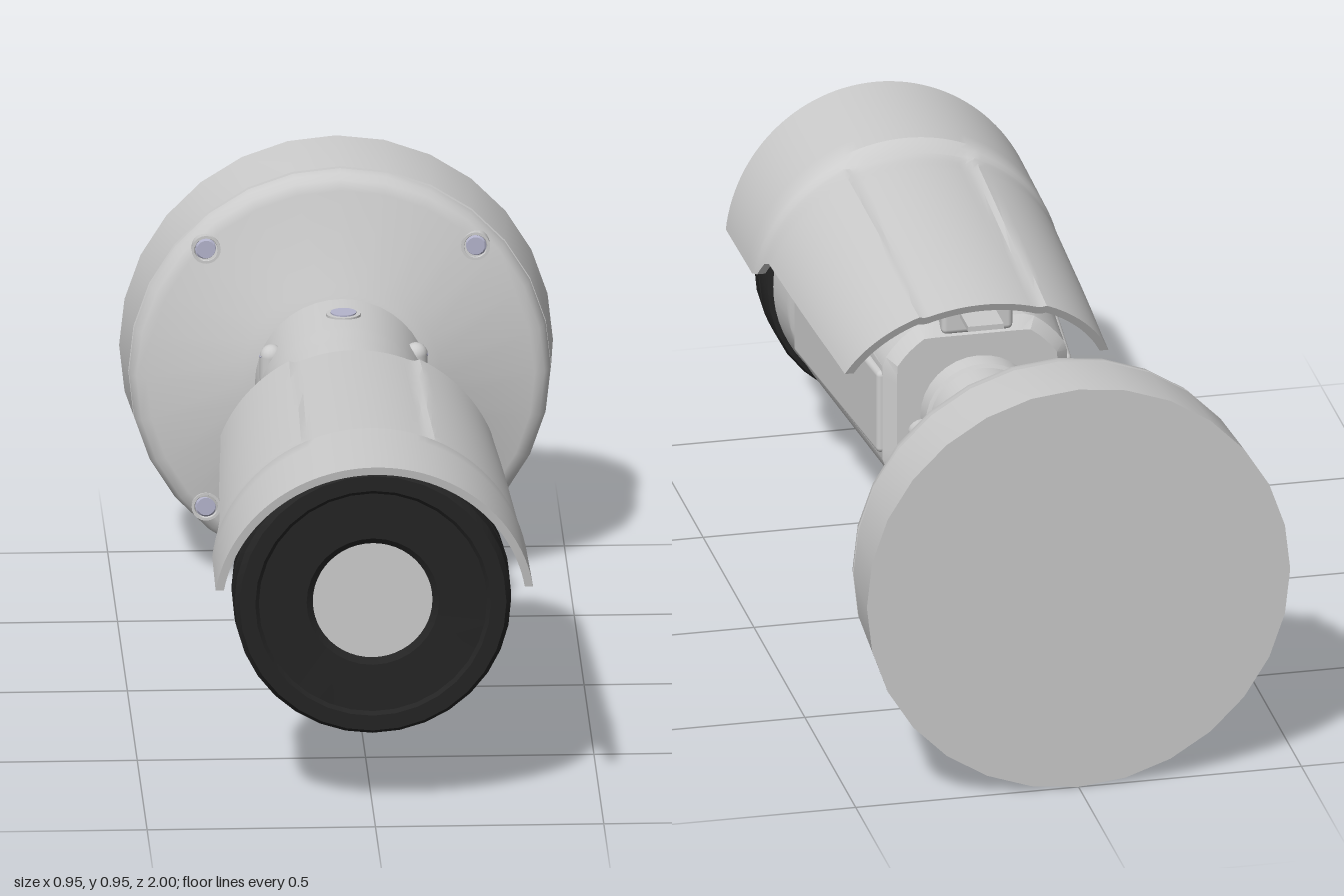
import * as THREE from 'three';
import { toCreasedNormals } from 'three/addons/utils/BufferGeometryUtils.js';
import { RoundedBoxGeometry } from 'three/addons/geometries/RoundedBoxGeometry.js';

const CY = 0.48; // height of the main axis
const grey = new THREE.MeshStandardMaterial({ color: 0xcccccc });
const black = new THREE.MeshStandardMaterial({ color: 0x242424 });
const steel = new THREE.MeshStandardMaterial({ color: 0xb4b4cc });

function add(parent, name, geometry, material = grey, x = 0, y = 0, z = 0) {
  const mesh = new THREE.Mesh(geometry, material);
  mesh.name = name;
  mesh.position.set(x, y, z);
  parent.add(mesh);
  return mesh;
}

// Turned part along z; profile is [radius, z] from back to front
function turned(profile, sides = 32, crease = 0.5) {
  const g = new THREE.LatheGeometry(profile.map(([r, z]) => new THREE.Vector2(r, z)), sides);
  g.rotateX(Math.PI / 2);
  return toCreasedNormals(g, crease);
}

// Skin over equal-length counter-clockwise rings, stacked towards +z, with both ends closed
function loft(rings, crease = 0.6) {
  const n = rings[0].length, index = [];
  rings.slice(1).forEach((_, i) => {
    for (let j = 0; j < n; j++) {
      const a = i * n + j, b = i * n + (j + 1) % n;
      index.push(a, b, b + n, a, b + n, a + n);
    }
  });
  const cap = (ring) => THREE.ShapeUtils.triangulateShape(ring.map(([x, y]) => new THREE.Vector2(x, y)), []);
  const last = (rings.length - 1) * n;
  cap(rings[0]).forEach(([a, b, c]) => index.push(c, b, a));
  cap(rings[rings.length - 1]).forEach(([a, b, c]) => index.push(last + a, last + b, last + c));
  const g = new THREE.BufferGeometry();
  g.setAttribute('position', new THREE.Float32BufferAttribute(rings.flat(2), 3));
  g.setIndex(index);
  return toCreasedNormals(g, crease);
}

// Linear look-up in rows of [z, ...values]
function lookUp(rows, z) {
  let i = 0;
  while (i < rows.length - 2 && z > rows[i + 1][0]) i++;
  const [a, b] = [rows[i], rows[i + 1]];
  const t = (z - a[0]) / (b[0] - a[0]);
  return a.slice(1).map((v, k) => THREE.MathUtils.lerp(v, b[k + 1], t));
}

function ringOf(n, point) {
  return Array.from({ length: n }, (_, j) => point((j / n) * Math.PI * 2));
}

function wallBase(root) {
  const g = new THREE.Group();
  g.name = 'wallBase';
  g.position.y = CY;
  add(g, 'backDisc', turned([[0, -1], [0.475, -1], [0.463, -0.815], [0.456, -0.812], [0.456, -0.806]], 28));
  add(g, 'frontCover', turned([[0.456, -0.806], [0.462, -0.804], [0.458, -0.785], [0.447, -0.768],
    [0.425, -0.758], [0.22, -0.728], [0.2, -0.715], [0, -0.715]], 28, 0.7));
  for (const x of [-0.295, 0.295]) for (const y of [-0.295, 0.295]) {
    add(g, 'screwSocket', turned([[0.032, -0.78], [0.032, -0.752], [0.026, -0.752], [0.024, -0.758]], 20), grey, x, y);
    add(g, 'baseScrew', turned([[0.025, -0.78], [0.025, -0.758], [0.02, -0.754], [0, -0.754]], 20), steel, x, y);
  }
  root.add(g);
}

function neck(root) {
  const g = new THREE.Group();
  g.name = 'neck';
  g.position.y = CY;
  // rows: z, upper radius, lower depth
  const rows = [[-0.72, 0.19, 0.182], [-0.54, 0.184, 0.182], [-0.515, 0.183, 0.172], [-0.48, 0.181, 0.145],
    [-0.45, 0.18, 0.132], [-0.37, 0.177, 0.118], [-0.31, 0.174, 0.093], [-0.27, 0.172, 0.055],
    [-0.255, 0.17, 0.02], [-0.245, 0.16, 0.005]];
  add(g, 'neckShell', loft(rows.map(([z, up, low]) => ringOf(40, (a) =>
    [up * Math.cos(a), (Math.sin(a) > 0 ? up : low) * Math.sin(a), z]))));
  // seam of the upper cover, pocketed side bolts and the top screw
  for (const s of [-1, 1]) {
    add(g, 'coverSeam', new THREE.BoxGeometry(0.012, 0.008, 0.34), grey, s * 0.173, 0.002, -0.43).rotation.y = s * 0.03;
    for (const [z, x] of [[-0.295, 0.153], [-0.61, 0.166]]) {
      add(g, 'boltPocket', new THREE.CapsuleGeometry(0.026, 0.05, 6, 16), grey, s * (x - 0.008), 0.07, z);
      const bolt = add(g, 'sideBolt', new THREE.CylinderGeometry(0.017, 0.017, 0.02, 16), steel, s * x, 0.094, z);
      bolt.rotation.z = -s * 0.5;
    }
  }
  add(g, 'topSocket', new THREE.CylinderGeometry(0.038, 0.038, 0.03, 24), grey, 0, 0.173, -0.62);
  add(g, 'topScrew', new THREE.CylinderGeometry(0.028, 0.028, 0.03, 24), steel, 0, 0.176, -0.62);
  root.add(g);
}

function arm(root) {
  const g = new THREE.Group();
  g.name = 'swivelArm';
  g.position.y = CY + 0.003;
  add(g, 'joint', turned([[0, -0.32], [0.085, -0.32], [0.085, -0.22]]));
  add(g, 'armTube', turned([[0, -0.235], [0.108, -0.235], [0.116, -0.225], [0.119, -0.06],
    [0.127, -0.055], [0.13, -0.015], [0.11, -0.012], [0.11, 0.03]]));
  root.add(g);
}

function housing(root) {
  const g = new THREE.Group();
  g.name = 'housing';
  g.position.y = CY;
  // round section cut by four flats that fade out towards the front; rows: z, radius, flat distance
  const rows = [[-0.005, 0.215, 0.18], [0.02, 0.24, 0.207], [0.6, 0.278, 0.262], [0.63, 0.279, 0.275],
    [0.65, 0.279, 0.279], [0.74, 0.288, 0.288]];
  add(g, 'bodyShell', loft(rows.map(([z, r, flat]) => ringOf(64, (a) => {
    const c = Math.cos(a), s = Math.sin(a);
    const d = Math.min(r, flat / Math.max(Math.abs(c), Math.abs(s)));
    return [d * c, d * s, z];
  })), 0.35));
  // raised panels on both sides and underneath
  for (const turn of [0, -Math.PI / 2, Math.PI]) {
    const holder = new THREE.Group();
    holder.name = 'panelHolder';
    holder.rotation.z = turn;
    const panel = add(holder, 'raisedPanel', new RoundedBoxGeometry(0.03, 0.195, 0.59, 3, 0.012), grey, 0.231, 0, 0.315);
    panel.rotation.y = 0.095;
    g.add(holder);
  }
  // rails and tab that carry the shade
  for (const s of [-1, 1]) {
    add(g, 'shadeRail', new THREE.BoxGeometry(0.035, 0.07, 0.58), grey, s * 0.12, 0.24, 0.34).rotation.x = -0.06;
  }
  add(g, 'rearBracket', new RoundedBoxGeometry(0.16, 0.06, 0.08, 2, 0.012), grey, 0, 0.215, 0.03);
  add(g, 'rearTab', new THREE.BoxGeometry(0.08, 0.012, 0.12), grey, 0, 0.231, -0.03);
  root.add(g);
}

function lens(root) {
  const g = new THREE.Group();
  g.name = 'lens';
  g.position.y = CY;
  add(g, 'lensRing', turned([[0, 0.735], [0.27, 0.735], [0.3, 0.745], [0.305, 0.755], [0.305, 0.8], [0.3, 0.803],
    [0.3, 0.809], [0.305, 0.812], [0.303, 0.862], [0.292, 0.88], [0.258, 0.88], [0.25, 0.872],
    [0.145, 0.868], [0.129, 0.855]], 32), black);
  add(g, 'lensGlass', new THREE.CircleGeometry(0.131, 48), grey, 0, 0, 0.857);
  root.add(g);
}

function sunShade(root) {
  // rows: z, half width, rise, height of the lower edge
  const rows = [[-0.075, 0.32, 0.288, 0.11], [0.62, 0.346, 0.324, 0.11], [0.645, 0.346, 0.325, 0.1],
    [0.67, 0.347, 0.328, 0.065], [0.7, 0.349, 0.345, 0.055], [1, 0.352, 0.35, 0.055]];
  const zs = [-0.075, 0, 0.08, 0.2, 0.35, 0.5, 0.6, 0.62, 0.645, 0.66, 0.67, 0.685, 0.7, 0.75, 0.85, 0.93, 1];
  const N = 56, T = 0.018;
  const smooth = THREE.MathUtils.smoothstep;
  const rings = zs.map((z) => {
    const [rx, ry, low] = lookUp(rows, z);
    const point = (k, thick) => {
      const a0 = Math.asin(low / (ry - thick));
      const a = a0 + (k / N) * (Math.PI - 2 * a0);
      const x = (rx - thick) * Math.cos(a);
      // shallow recess along the crown
      const sunk = 0.01 * (1 - smooth(Math.abs(x), 0.125, 0.145)) * (1 - smooth(z, 0.665, 0.69));
      const y = (ry - thick) * Math.sin(a) - sunk;
      // slanted rear and front edges
      const rear = 0.43 * (0.288 - y) * (1 - smooth(z, -0.075, 0.35));
      const front = 0.186 * (0.35 - y) * smooth(z, 0.7, 1);
      return [x, y, z + rear - front];
    };
    const outer = Array.from({ length: N + 1 }, (_, k) => point(k, 0));
    const inner = Array.from({ length: N + 1 }, (_, k) => point(N - k, T));
    return [...outer, ...inner];
  });
  add(root, 'sunShade', loft(rings, 0.5), grey, 0, CY);
}

export function createModel() {
  const root = new THREE.Group();
  root.name = 'wallCamera';
  [wallBase, neck, arm, housing, lens, sunShade].forEach((build) => build(root));
  return root;
}
